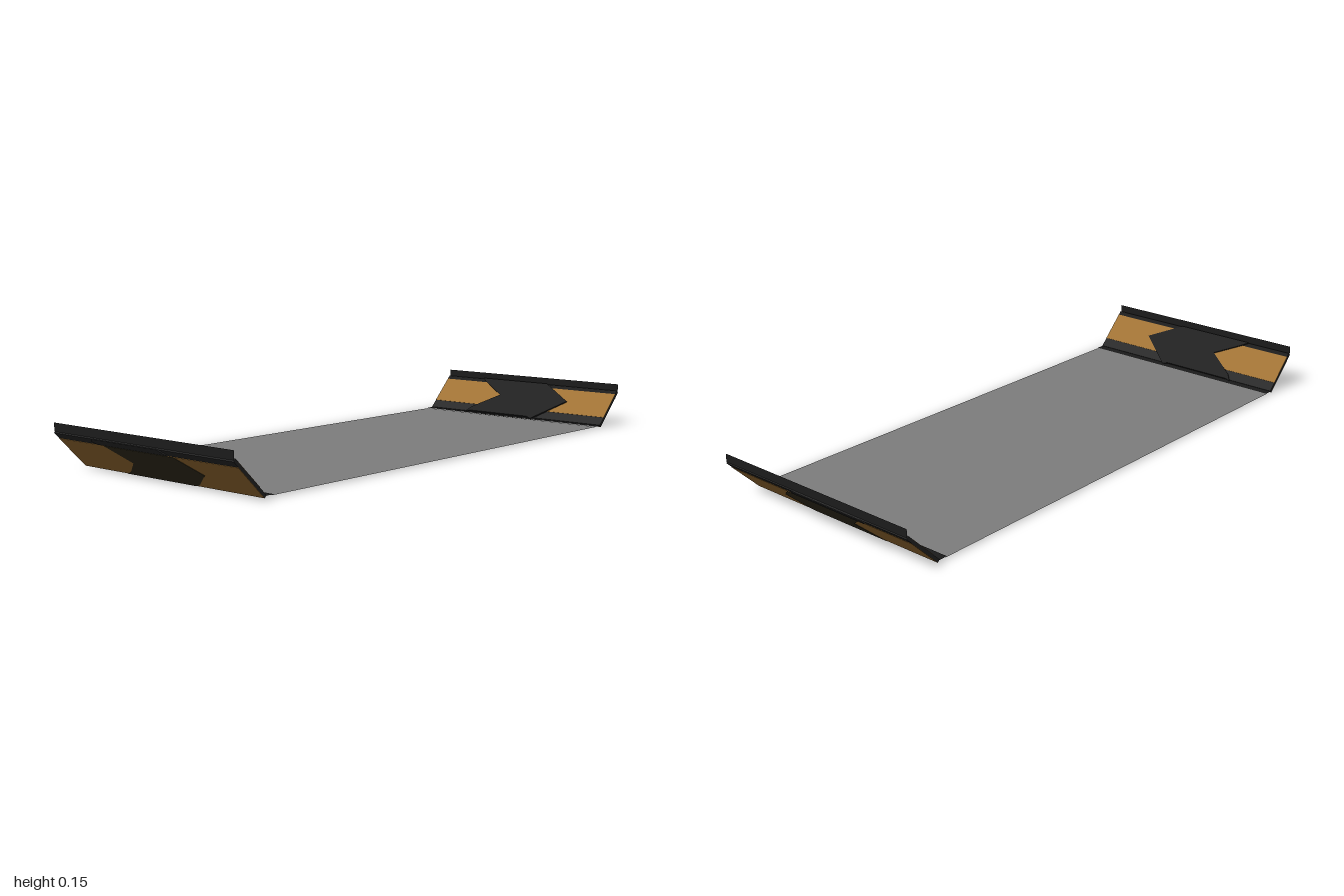
import * as THREE from 'three';

const mat = (name, color, side = THREE.FrontSide) => {
  const m = new THREE.MeshStandardMaterial({ color, side });
  m.name = name;
  return m;
};

export function createModel() {
  const floorGrey = mat('floorGrey', 0x7e7e7e, THREE.DoubleSide);
  const darkGrey = mat('darkGrey', 0x2a2a2a);
  const black = mat('black', 0x1b1b1b, THREE.DoubleSide);
  const chevronBlack = mat('chevronBlack', 0x212121);
  const amber = mat('amber', 0x9f7235);
  const brownBlack = mat('brownBlack', 0x342e1e);

  const D = 0.79;        // depth along z
  const L = 0.165;       // width of the sloping panel
  const T = 0.01;        // panel thickness
  const Y0 = 0.01;       // floor level
  const X0 = 0.878;      // foot of the panel

  const add = (parent, name, geometry, material) => {
    const mesh = new THREE.Mesh(geometry, material);
    mesh.name = name;
    parent.add(mesh);
    return mesh;
  };

  // Strip across the slope from s0 to s1, between heights n0 and n1 above the panel middle
  const strip = (s0, s1, n0, n1, z0 = -D / 2, z1 = D / 2) =>
    new THREE.BoxGeometry(s1 - s0, n1 - n0, z1 - z0)
      .translate((s0 + s1) / 2, (n0 + n1) / 2, (z0 + z1) / 2);

  // Flat outline of [s, z] points, extruded down from height n
  const plate = (points, n, depth) => {
    const shape = new THREE.Shape(points.map(([s, z]) => new THREE.Vector2(s, z)));
    return new THREE.ExtrudeGeometry(shape, { depth, bevelEnabled: false })
      .rotateX(Math.PI / 2).translate(0, n, 0);
  };

  const makeSide = (name) => {
    const side = new THREE.Group();
    side.name = name;

    // Sloping panel: local x runs up the slope, local y faces inward
    const slope = new THREE.Group();
    slope.name = 'slopingPanel';
    slope.position.set(X0, Y0, 0);
    slope.rotation.z = Math.PI / 4;
    side.add(slope);
    const h = T / 2;
    add(slope, 'panel', strip(0, L, -h, h), darkGrey);
    add(slope, 'innerStripe', strip(0.036, 0.149, h, h + 0.001), amber);
    add(slope, 'innerTopBand', strip(0.149, L, h, h + 0.001), black);
    add(slope, 'outerStripe', strip(0, 0.139, -h - 0.001, -h), amber);

    // Raised chevron on the inside, pointing to the front
    const mid = 0.09;
    add(slope, 'innerChevron', plate([
      [-0.008, 0.09], [0, 0.07], [0, -0.2], [-0.006, -0.22], [0.02, -0.2], [mid, -0.1],
      [L - 0.015, -0.2], [L, -0.22], [L, 0.085], [mid, 0.21],
    ], h + 0.006, 0.006), chevronBlack);

    // Painted chevron on the outside, with the plate edge above it
    add(slope, 'outerChevron', plate([
      [0, 0.12], [0.01, 0.14], [0.067, 0.205], [0.128, 0.14], [0.139, 0.13],
      [0.139, -0.18], [0.125, -0.165], [0.067, -0.105], [0.012, -0.165], [0, -0.19],
    ], -h - 0.001, 0.001), brownBlack);
    add(slope, 'outerPlate', plate([
      [0.142, 0.11], [0.168, 0.08], [0.168, -0.21], [0.156, -0.222], [0.142, -0.205],
    ], -h, 0.003), darkGrey);

    // Flat lip at the floor and upright lip at the top
    add(side, 'lowerLip', new THREE.PlaneGeometry(0.033, D).rotateX(-Math.PI / 2)
      .translate(0.8615, Y0 + 0.002, 0), black);
    add(side, 'upperLip', new THREE.PlaneGeometry(D, 0.028).rotateY(Math.PI / 2)
      .translate(0.997, 0.141, 0), black);
    return side;
  };

  const model = new THREE.Group();
  model.name = 'trackSection';
  add(model, 'floor', new THREE.PlaneGeometry(1.7, D).rotateX(-Math.PI / 2)
    .translate(0, Y0, 0), floorGrey);
  const left = makeSide('leftBarrier');
  const right = makeSide('rightBarrier');
  right.scale.x = -1;
  model.add(left, right);
  return model;
}
